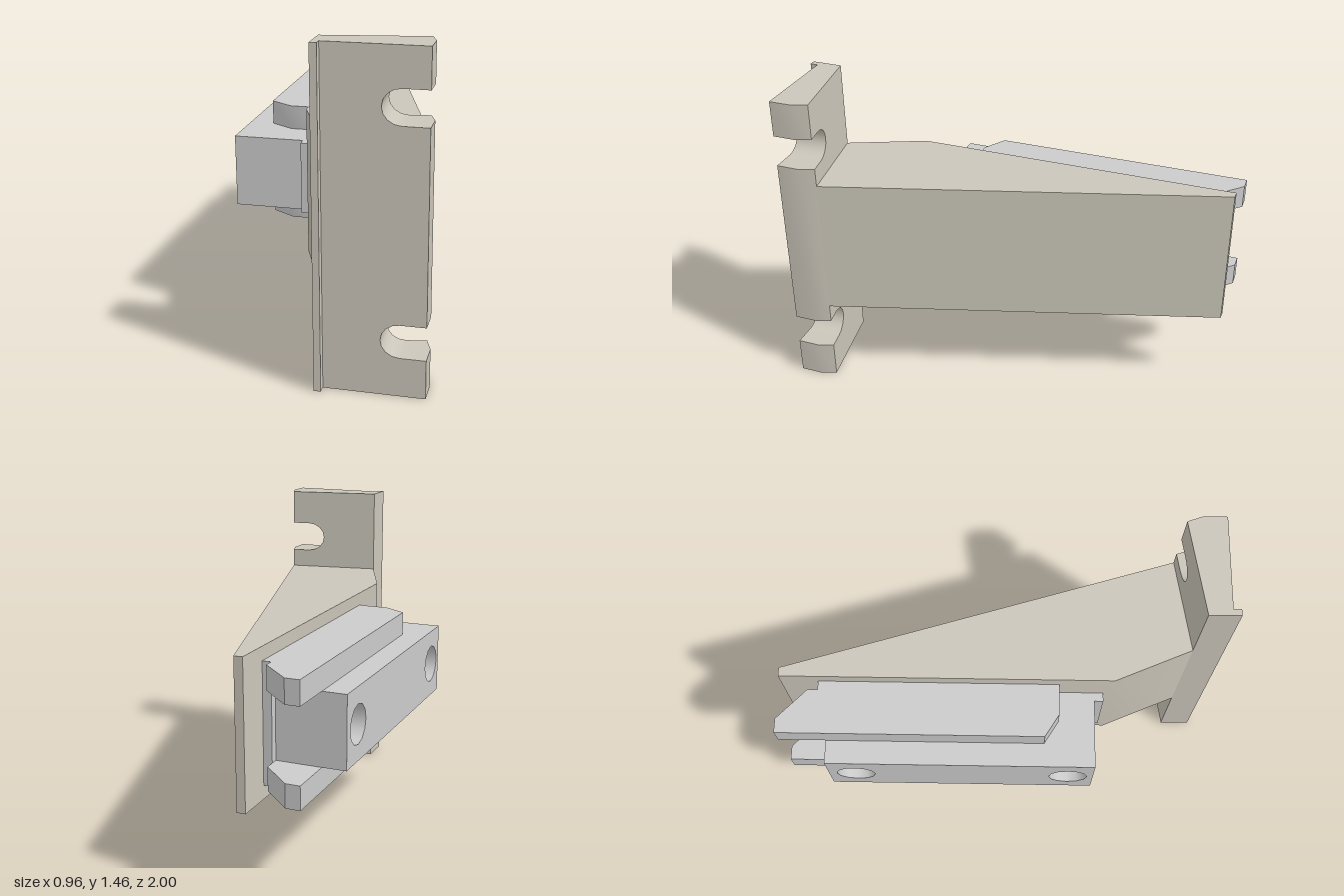
import * as THREE from 'three';
import { toCreasedNormals } from 'three/addons/utils/BufferGeometryUtils.js';

const beige = new THREE.MeshStandardMaterial({ color: 0xcbc6ba });
const grey = new THREE.MeshStandardMaterial({ color: 0xcccccc });

function addMesh(parent, name, geometry, material) {
  const mesh = new THREE.Mesh(toCreasedNormals(geometry, 0.7), material);
  mesh.name = name;
  parent.add(mesh);
  return mesh;
}

// Upright prism from an outline of [x, z] points, between two heights
function prism(outline, y0, y1) {
  const shape = new THREE.Shape(outline.map(([x, z]) => new THREE.Vector2(x, -z)));
  const g = new THREE.ExtrudeGeometry(shape, { depth: y1 - y0, bevelEnabled: false });
  return g.rotateX(-Math.PI / 2).translate(0, y0, 0);
}

export function createModel() {
  const model = new THREE.Group();
  model.name = 'mountingBracket';

  // Mounting plate: two open slots in its edge, back face slanted
  const plate = new THREE.Group();
  plate.name = 'mountingPlate';
  model.add(plate);
  const height = 1.46, left = 0.02, ridge = 0.455, front = 0.965;
  const slotY = [0.245, 1.22], slotR = 0.073;

  const face = new THREE.Shape();
  face.moveTo(left, 0);
  face.lineTo(ridge, 0);
  for (const y of slotY) {
    for (let i = 0; i <= 8; i++) {
      const a = -Math.PI / 2 - (i / 8) * Math.PI;
      if (i === 0) face.lineTo(ridge, y - slotR);
      face.lineTo(0.37 + 0.08 * Math.cos(a), y + slotR * Math.sin(a));
    }
    face.lineTo(ridge, y + slotR);
  }
  face.lineTo(ridge, height);
  face.lineTo(left, height);
  const body = new THREE.ExtrudeGeometry(face, { depth: 1, bevelEnabled: false });
  const p = body.attributes.position;
  for (let i = 0; i < p.count; i++) {
    const slant = 0.86 - 0.07 * (p.getX(i) - left) / (ridge - left);
    p.setZ(i, p.getZ(i) > 0.5 ? front : slant);
  }
  addMesh(plate, 'slottedPlate', body, beige);

  // Bevelled outer edge, interrupted by the slots
  const edge = [[ridge, 0.79], [0.48, 0.86], [0.48, front], [ridge, front]];
  const stops = [0, slotY[0] - slotR, slotY[0] + slotR, slotY[1] - slotR, slotY[1] + slotR, height];
  for (let i = 0; i < stops.length; i += 2) {
    addMesh(plate, 'plateEdge', prism(edge, stops[i], stops[i + 1]), beige);
  }

  // Narrow lip along the inner front edge
  addMesh(plate, 'plateLip',
    prism([[left, front], [0.05, front], [0.05, 1], [left, 1]], 0, height), beige);

  // Tapering arm
  addMesh(model, 'arm',
    prism([[-0.13, -0.99], [-0.09, -0.99], [ridge, 0.79], [left, 0.86], [-0.13, 0.51]], 0.405, 1.06), beige);

  // Slide unit on the side of the arm
  const slide = new THREE.Group();
  slide.name = 'slideUnit';
  model.add(slide);
  addMesh(slide, 'slideBase',
    prism([[-0.17, -0.82], [-0.13, -0.82], [-0.13, 0.47], [-0.17, 0.47]], 0.57, 0.893), grey);

  // Central block with a round hole near each end
  const side = new THREE.Shape([[-0.785, 0.57], [0.43, 0.57], [0.43, 0.893], [-0.785, 0.893]]
    .map(([z, y]) => new THREE.Vector2(z, y)));
  for (const z of [-0.66, 0.315]) {
    side.holes.push(new THREE.Path().absarc(z, 0.73, 0.088, 0, Math.PI * 2, true));
  }
  const block = new THREE.ExtrudeGeometry(side, { depth: 0.313, bevelEnabled: false, curveSegments: 6 });
  block.rotateY(-Math.PI / 2).translate(-0.17, 0, 0);
  addMesh(slide, 'centreBlock', block, grey);

  // Upper and lower guide rails
  const rail = [[-0.375, -1], [-0.31, -1], [-0.17, -0.865], [-0.17, -0.82],
    [-0.13, -0.82], [-0.13, 0.265], [-0.27, 0.265], [-0.375, 0.2]];
  addMesh(slide, 'lowerRail', prism(rail, 0.465, 0.57), grey);
  addMesh(slide, 'upperRail', prism(rail, 0.893, 1.0), grey);

  return model;
}
